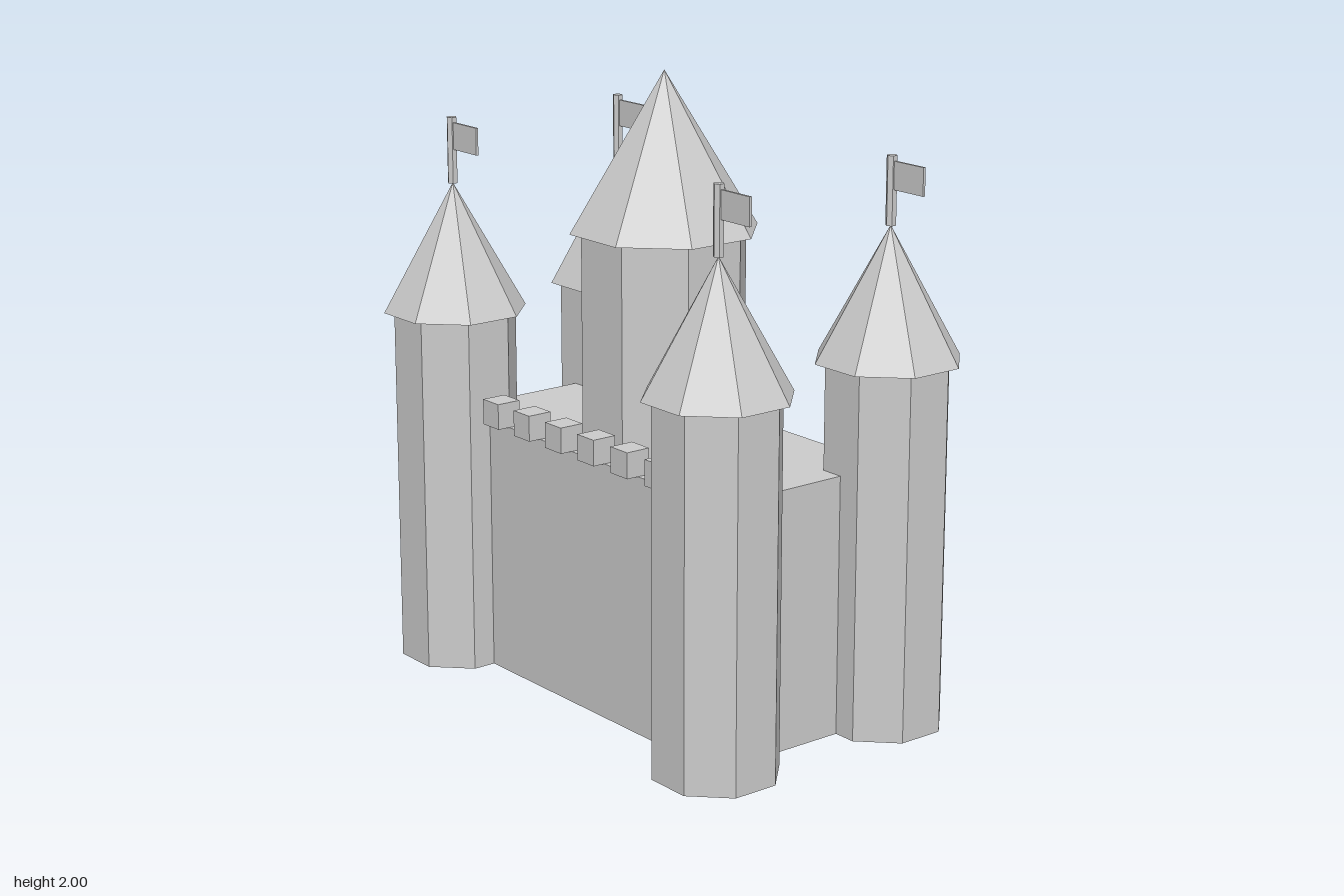
import * as THREE from 'three';

export function createModel() {
  const castle = new THREE.Group();
  castle.name = 'castle';
  const stone = new THREE.MeshStandardMaterial({ color: 0xcccccc, flatShading: true });
  stone.name = 'light grey stone';

  const add = (parent, name, geometry, x, y, z) => {
    const mesh = new THREE.Mesh(geometry, stone);
    mesh.name = name;
    mesh.position.set(x, y, z);
    parent.add(mesh);
    return mesh;
  };

  // Eight-sided prism or cone with flat sides facing the axes, standing on y = 0
  const octagon = (topRadius, bottomRadius, height) =>
    new THREE.CylinderGeometry(topRadius, bottomRadius, height, 8)
      .rotateY(Math.PI / 8)
      .translate(0, height / 2, 0);

  const WALL = 0.835, HALF_W = 0.667, HALF_D = 0.333;

  // Main block
  add(castle, 'mainWall', new THREE.BoxGeometry(HALF_W * 2, WALL, HALF_D * 2), 0, WALL / 2, 0);

  // Battlements along the front edge
  const merlon = new THREE.BoxGeometry(0.083, 0.083, 0.083);
  for (let i = 0; i < 6; i++) {
    add(castle, 'merlon', merlon, (i - 2.5) * 0.167, WALL + 0.0415, HALF_D);
  }

  // Central keep with its roof
  add(castle, 'keep', octagon(0.266, 0.266, 1.503 - WALL), 0, WALL, 0);
  add(castle, 'keepRoof', octagon(0, 0.303, 0.497), 0, 1.503, 0);

  // Four corner towers with roofs and flags
  const shaft = octagon(0.2, 0.2, 1.17);
  const roof = octagon(0, 0.233, 0.415);
  const pole = new THREE.CylinderGeometry(0.0167, 0.0167, 0.213, 6);
  const flag = new THREE.BoxGeometry(0.138, 0.087, 0.0083);
  for (const x of [-HALF_W, HALF_W]) {
    for (const z of [-HALF_D, HALF_D]) {
      const tower = new THREE.Group();
      tower.name = 'cornerTower';
      tower.position.set(x, 0, z);
      add(tower, 'towerShaft', shaft, 0, 0, 0);
      add(tower, 'towerRoof', roof, 0, 1.17, 0);
      add(tower, 'flagPole', pole, 0, 1.69, 0);
      add(tower, 'flag', flag, 0.071, 1.737, 0);
      castle.add(tower);
    }
  }

  return castle;
}
